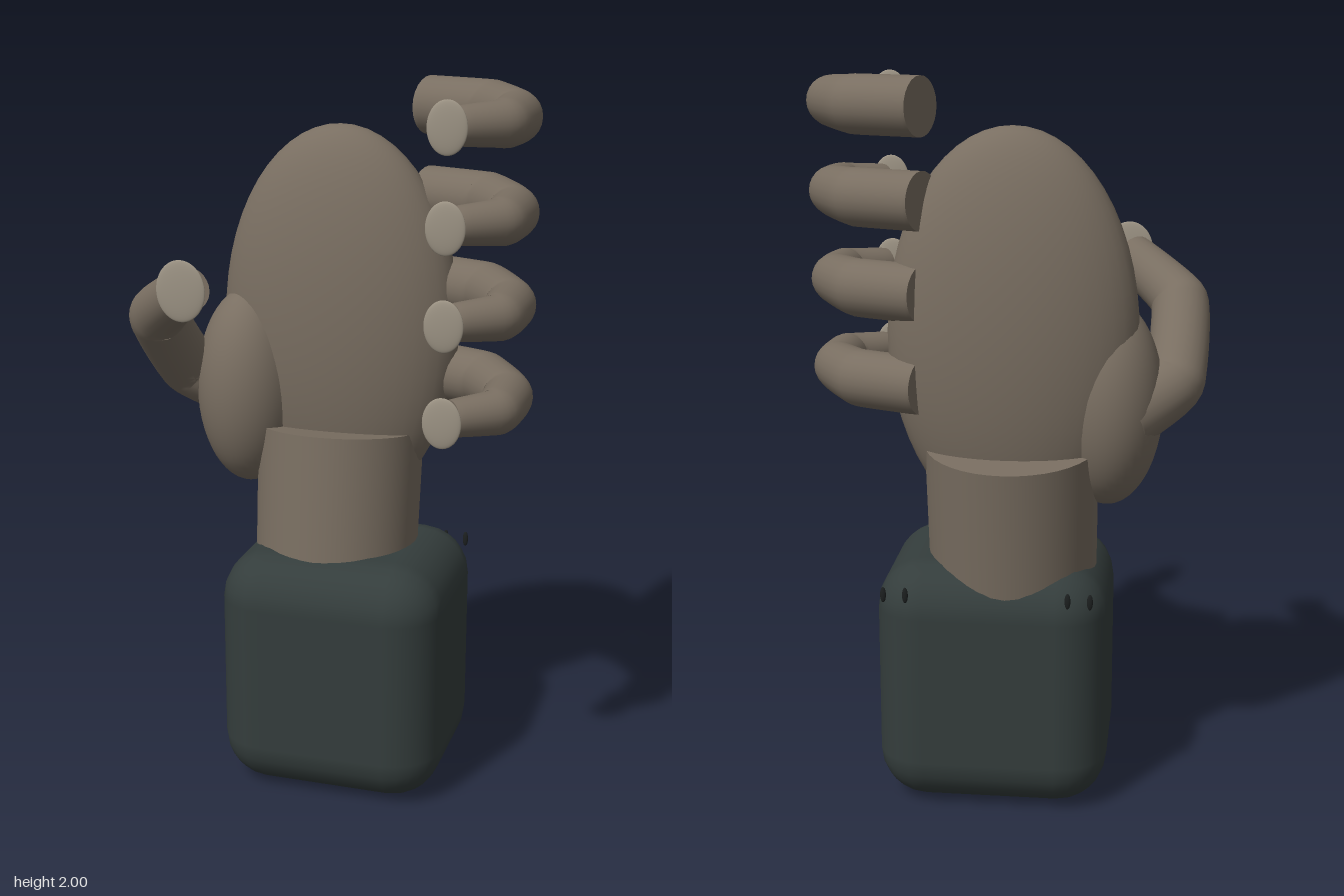
import * as THREE from 'three';
import { toCreasedNormals } from 'three/addons/utils/BufferGeometryUtils.js';
import { RoundedBoxGeometry } from 'three/addons/geometries/RoundedBoxGeometry.js';

const skin = new THREE.MeshStandardMaterial({ color: 0x796e61 });
const nail = new THREE.MeshStandardMaterial({ color: 0x9c9384 });
const cloth = new THREE.MeshStandardMaterial({ color: 0x343d3c });
const dark = new THREE.MeshStandardMaterial({ color: 0x1c1f1f });

// Tapered limb swept through points [x, y, z, radius], with flat ends
function limbGeometry(points, sides = 24, steps = 36) {
  const curve = new THREE.CatmullRomCurve3(
    points.map(([x, y, z]) => new THREE.Vector3(x, y, z)), false, 'catmullrom', 0.2);
  const up = new THREE.Vector3(0, 1, 0);
  const last = points.length - 1;
  const rings = [[0, 0]];
  for (let i = 0; i <= steps; i++) rings.push([i / steps, 1]);
  rings.push([1, 0]);
  const position = [], index = [];
  rings.forEach(([u, scale], i) => {
    const k = Math.min(Math.floor(u * last), last - 1);
    const r = scale * THREE.MathUtils.lerp(points[k][3], points[k + 1][3], u * last - k);
    const centre = curve.getPoint(u);
    const t = curve.getTangent(u);
    const n = new THREE.Vector3().crossVectors(up, t).normalize();
    const b = new THREE.Vector3().crossVectors(t, n);
    for (let j = 0; j < sides; j++) {
      const a = (j / sides) * Math.PI * 2;
      const p = centre.clone().addScaledVector(n, r * Math.cos(a)).addScaledVector(b, r * Math.sin(a));
      position.push(p.x, p.y, p.z);
      if (i === rings.length - 1) continue;
      const j2 = (j + 1) % sides;
      const p0 = i * sides + j, p1 = i * sides + j2, q0 = p0 + sides, q1 = p1 + sides;
      if (i > 0) index.push(p0, p1, q0);
      if (i < rings.length - 2) index.push(p1, q1, q0);
    }
  });
  const geometry = new THREE.BufferGeometry();
  geometry.setAttribute('position', new THREE.Float32BufferAttribute(position, 3));
  geometry.setIndex(index);
  return toCreasedNormals(geometry, 0.8);
}

export function createModel() {
  const model = new THREE.Group();
  const add = (name, geometry, material, x = 0, y = 0, z = 0) => {
    const mesh = new THREE.Mesh(geometry, material);
    mesh.name = name;
    mesh.position.set(x, y, z);
    model.add(mesh);
    return mesh;
  };
  const ellipsoid = (name, material, rx, ry, rz, x, y, z) =>
    add(name, new THREE.SphereGeometry(1, 40, 28).scale(rx, ry, rz), material, x, y, z);

  // Sleeve cuff and the tilted wrist rising from it
  add('cuff', new RoundedBoxGeometry(0.64, 0.7, 0.57, 3, 0.14), cloth, 0.015, 0.35, -0.04);
  const wrist = add('wrist', new THREE.CylinderGeometry(0.238, 0.232, 0.5, 40), skin, -0.03, 0.767, -0.09);
  wrist.rotation.x = -0.12;

  // Palm and the muscle at the root of the thumb
  ellipsoid('palm', skin, 0.34, 0.55, 0.162, -0.032, 1.32, -0.122);
  ellipsoid('thumbBase', skin, 0.15, 0.285, 0.17, -0.29, 1.125, -0.08);

  // Thumb
  add('thumb', limbGeometry([
    [-0.33, 1.1, -0.13, 0.1],
    [-0.465, 1.18, -0.04, 0.085],
    [-0.475, 1.365, 0.145, 0.08],
    [-0.33, 1.475, 0.285, 0.063],
  ]), skin);
  ellipsoid('thumbNail', nail, 0.068, 0.082, 0.009, -0.325, 1.48, 0.343);

  // Four curled fingers, each with a floating nail disc
  const fingerGeometry = limbGeometry([
    [0.2, 0, -0.19, 0.079],
    [0.385, 0, -0.11, 0.079],
    [0.482, 0, 0.04, 0.068],
    [0.483, 0, 0.195, 0.061],
    [0.385, 0, 0.288, 0.048],
  ]);
  [1.92, 1.677, 1.433, 1.183].forEach((y, i) => {
    add(`finger${i + 1}`, fingerGeometry, skin, 0, y, 0);
    ellipsoid(`fingerNail${i + 1}`, nail, 0.051, 0.067, 0.009, 0.375, y + 0.002, 0.347);
  });

  // Small stitches at the back corners of the cuff
  [-0.26, -0.2, 0.24, 0.3].forEach((x, i) => {
    ellipsoid(`stitch${i + 1}`, dark, 0.008, 0.022, 0.005, x, 0.63, -0.312);
  });
  return model;
}
